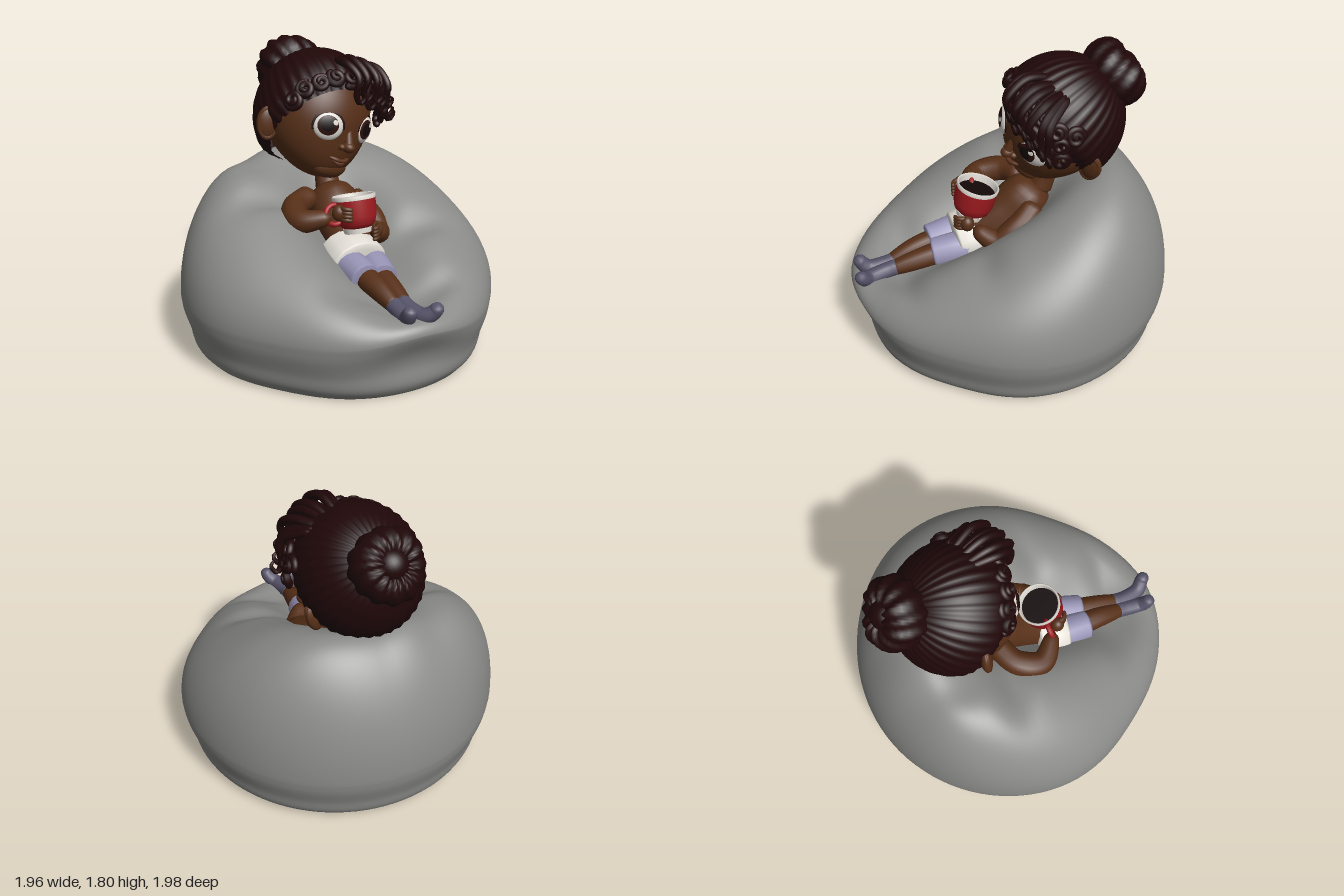
import * as THREE from 'three';
import { mergeVertices } from 'three/addons/utils/BufferGeometryUtils.js';
import { ParametricGeometry } from 'three/addons/geometries/ParametricGeometry.js';

const mat = (name, color, side = THREE.FrontSide) => {
  const m = new THREE.MeshStandardMaterial({ color, side });
  m.name = name;
  return m;
};
const M = {
  fabric: mat('grey fabric', 0x8b8b89),
  skin: mat('skin', 0x573018),
  hair: mat('dark hair', 0x200708, THREE.DoubleSide),
  red: mat('red glaze', 0x9c1a1f),
  white: mat('white', 0xe2ded6, THREE.DoubleSide),
  shorts: mat('lavender cloth', 0x9793b5),
  sock: mat('slate sock', 0x575469),
  iris: mat('iris brown', 0x2c100d),
  lip: mat('lip brown', 0x5f331f),
  dark: mat('coffee black', 0x140808),
};

const V = (x, y, z) => new THREE.Vector3(x, y, z);
const table = (xs, ys) => {
  const f = new THREE.CubicInterpolant(xs, ys, 1);
  return t => f.evaluate(t)[0];
};
const smooth = geo => {
  geo.deleteAttribute('uv');
  geo.deleteAttribute('normal');
  const g = mergeVertices(geo);
  g.computeVertexNormals();
  return g;
};
function add(parent, name, geo, material, pos = [0, 0, 0], rot = [0, 0, 0], scale = [1, 1, 1]) {
  const m = new THREE.Mesh(geo, material);
  m.name = name;
  m.position.set(...pos);
  m.rotation.set(...rot);
  m.scale.set(...scale);
  parent.add(m);
  return m;
}
const ball = (w = 24, h = 18) => new THREE.SphereGeometry(1, w, h);

// Round-ended tube through points; radii are spaced evenly along it
function limb(points, radii, cap = 0.12, rows = 28, cols = 14) {
  const curve = new THREE.CatmullRomCurve3(points.map(p => V(...p)));
  const g = new THREE.TubeGeometry(curve, rows, 1, cols);
  const pos = g.attributes.position, p = V(0, 0, 0);
  const radius = table(radii.map((_, i) => i / (radii.length - 1)), radii);
  for (let i = 0; i <= rows; i++) {
    const u = i / rows, c = curve.getPointAt(u);
    const e = 1 - Math.min(1, u / cap, (1 - u) / cap);
    const r = radius(u) * Math.sqrt(1 - e * e);
    for (let j = 0; j <= cols; j++) {
      const k = i * (cols + 1) + j;
      p.fromBufferAttribute(pos, k).sub(c).multiplyScalar(r).add(c);
      pos.setXYZ(k, p.x, p.y, p.z);
    }
  }
  return smooth(g);
}

// Beanbag: round base, bulging side, sloping top with a hollow down the middle
function beanbag() {
  const height = table([-1, -0.6, -0.35, 0, 0.2, 0.6, 1], [1.27, 1.27, 1.13, 0.92, 0.83, 0.71, 0.65]);
  const hollow = table([-1, -0.6, -0.35, -0.1, 0.2, 0.6, 0.9, 1], [0, 0.03, 0.14, 0.27, 0.26, 0.18, 0.07, 0]);
  const side = table([0, 0.15, 0.45, 0.8, 1], [0.88, 0.925, 0.952, 0.99, 1]);
  const dents = [[-0.45, -0.12, 0.2, 0.1, 0.06], [0.42, 0.27, 0.18, 0.1, 0.05],
    [0.24, 0.7, 0.2, 0.08, 0.03], [-0.26, 0.62, 0.16, 0.09, 0.03], [-0.36, -0.5, 0.14, 0.3, 0.05]];
  return smooth(new ParametricGeometry((u, v, out) => {
    const a = (u % 1) * Math.PI * 2, turn = Math.min(a, Math.PI * 2 - a);
    const front = Math.exp(-((turn / 0.32) ** 2));
    const R = 0.982 - 0.048 * Math.exp(-(((turn - 0.9) / 0.4) ** 2)) + 0.013 * front;
    const mid = 0.35 + 0.06 * front;
    let rho, y;
    if (v < 0.0499) { rho = 0.88 * v / 0.05; y = 0.01; }
    else if (v < 0.3) {
      const q = (v - 0.05) / 0.25;
      rho = side(q) - front * (0.015 + 0.04 * Math.sin(Math.PI * q ** 1.4)) * (1 - q ** 6);
      y = 0.01 + q * (mid - 0.01);
    } else rho = Math.cos((v - 0.3) / 0.7 * Math.PI / 2);
    const x = Math.sin(a) * R * rho, z = Math.cos(a) * R * rho;
    if (v >= 0.3) {
      const dome = Math.sqrt(Math.max(0, 1 - rho ** 2.6));
      y = mid + (height(z) + 0.12 * Math.abs(x) * (1 - front) - mid) * dome;
      y -= hollow(z) * Math.exp(-((x / 0.27) ** 2)) * Math.min(1, dome * 1.5);
      for (const [dx, dz, sx, sz, d] of dents)
        y -= d * Math.exp(-(((x - dx) / sx) ** 2) - ((z - dz) / sz) ** 2);
    }
    out.set(x, y, z);
  }, 96, 80));
}

function mug() {
  const g = new THREE.Group();
  g.name = 'mug';
  const lathe = pts => new THREE.LatheGeometry(pts.map(p => new THREE.Vector2(...p)), 36);
  add(g, 'mugBody', lathe([[0, 0], [0.08, 0], [0.108, 0.025], [0.123, 0.07], [0.128, 0.17]]), M.red);
  add(g, 'mugRim', lathe([[0.128, 0.17], [0.131, 0.192], [0.125, 0.198], [0.117, 0.19], [0.114, 0.13]]), M.white);
  add(g, 'coffee', new THREE.CircleGeometry(0.116, 32), M.dark, [0, 0.15, 0], [-Math.PI / 2, 0, 0]);
  add(g, 'mugFoot', new THREE.CylinderGeometry(0.088, 0.082, 0.03, 32), M.white, [0, -0.014, 0]);
  add(g, 'mugHandle', new THREE.TorusGeometry(0.058, 0.017, 10, 24), M.red, [-0.14, 0.1, 0]);
  g.position.set(-0.01, 0.8, 0.24);
  g.rotation.x = -0.27;
  return g;
}

function body() {
  const g = new THREE.Group();
  g.name = 'body';
  add(g, 'torso', limb([[-0.03, 0.61, 0.25], [0, 0.7, 0.1], [0.01, 0.82, -0.07], [0.02, 0.95, -0.19]],
    [0.13, 0.14, 0.15, 0.155, 0.12], 0.15), M.skin);
  add(g, 'neck', limb([[0.02, 0.9, -0.18], [0.02, 1.0, -0.22], [0.02, 1.15, -0.26]], [0.08, 0.07, 0.08]), M.skin);
  add(g, 'waistCloth', limb([[-0.035, 0.64, 0.13], [-0.035, 0.62, 0.24], [-0.035, 0.6, 0.35]],
    [0.145, 0.15, 0.15, 0.14], 0.1), M.white, [0, 0, 0], [0, 0, 0], [1.25, 1, 1]);
  // Right and left legs, with the ankles close together and the left one lower
  const legs = [[-0.12, -0.085, -0.05, -0.055, -0.065, 0, 0], [0.05, 0.025, 0.015, 0.045, 0.09, 0.025, -0.02]];
  for (const [hip, knee, ankle, heel, toe, dz, dy] of legs) {
    add(g, 'shortsLeg', limb([[hip, 0.615 + dy, 0.24], [(hip + knee) / 2, 0.6 + dy, 0.36], [knee - 0.01, 0.575 + dy, 0.5]],
      [0.1, 0.1, 0.095], 0.05), M.shorts);
    add(g, 'leg', limb([[knee, 0.58 + dy, 0.44], [(knee + ankle) / 2, 0.55 + dy, 0.6], [ankle, 0.495, 0.76]],
      [0.073, 0.068, 0.058, 0.042]), M.skin);
    add(g, 'sock', limb([[ankle, 0.51, 0.7], [ankle, 0.49, 0.79], [heel, 0.485, 0.88 + dz], [toe, 0.53, 0.925 + dz],
      [toe, 0.575, 0.945 + dz]], [0.05, 0.05, 0.05, 0.045, 0.036], 0.1), M.sock);
  }
  // Arms and hands around the mug
  const arms = [
    [[[-0.12, 0.91, -0.14], [-0.28, 0.88, -0.05], [-0.32, 0.85, 0.1], [-0.17, 0.89, 0.23]], [-0.145, 0.92, 0.26], 1],
    [[[0.13, 0.88, -0.13], [0.2, 0.78, 0], [0.2, 0.7, 0.13], [0.11, 0.765, 0.26]], [0.09, 0.79, 0.29], -1],
  ];
  for (const [path, [hx, hy, hz], s] of arms) {
    add(g, 'arm', limb(path, [0.075, 0.075, 0.08, 0.065, 0.04], 0.1), M.skin);
    add(g, 'palm', ball(), M.skin, [hx, hy, hz], [0, 0, 0], [0.042, 0.05, 0.042]);
    for (let i = 0; i < 4; i++) {
      const y = hy + 0.033 - i * 0.022;
      add(g, 'finger', limb([[hx, y, hz], [hx + s * 0.02, y, hz + 0.05], [hx + s * 0.06, y - 0.005, hz + 0.065]],
        [0.015, 0.014, 0.012], 0.15, 12, 8), M.skin);
    }
  }
  return g;
}

function eye(s) {
  const g = new THREE.Group();
  g.name = s < 0 ? 'rightEye' : 'leftEye';
  const cap = (r, angle) => new THREE.SphereGeometry(r, 28, 8, 0, Math.PI * 2, 0, angle).rotateX(Math.PI / 2);
  const look = [-0.14, s < 0 ? -0.12 : -0.42, 0];
  add(g, 'eyeWhite', ball(28, 20), M.white);
  add(g, 'iris', cap(1.02, 0.76), M.iris, [0, 0, 0], look);
  add(g, 'pupil', cap(1.04, 0.45), M.dark, [0, 0, 0], look);
  add(g, 'eyeGlint', cap(1.07, 0.18), M.white, [0, 0, 0], [-0.4, look[1] + 0.45, 0]);
  add(g, 'upperLash', new THREE.TorusGeometry(0.98, 0.12, 8, 28, Math.PI * 1.15), M.hair, [0, 0, 0.15], [0, 0, -0.08 - (s < 0 ? 0 : 0.3)]);
  add(g, 'lowerLid', new THREE.TorusGeometry(0.98, 0.09, 8, 28, Math.PI), M.skin, [0, 0, 0.12], [0, 0, Math.PI]);
  g.position.set(s * 0.15 + 0.012, -0.015, s < 0 ? 0.272 : 0.26);
  g.rotation.y = s * 0.46;
  g.scale.set(0.094, 0.086, 0.04);
  return g;
}

function hair() {
  const g = new THREE.Group();
  g.name = 'hair';
  // Ridged cap gathered towards the bun
  const cap = new THREE.SphereGeometry(1, 144, 26, 0, Math.PI * 2, 0, 1.85);
  const p = cap.attributes.position, v = V(0, 0, 0);
  for (let i = 0; i < p.count; i++) {
    v.fromBufferAttribute(p, i);
    const theta = Math.acos(v.y), phi = Math.atan2(v.z, v.x);
    v.multiplyScalar(1 + 0.012 * Math.cos(36 * phi) * Math.sin(theta) - 0.1 * THREE.MathUtils.smoothstep(theta, 1.6, 1.85));
    p.setXYZ(i, v.x, v.y, v.z);
  }
  cap.rotateX(-0.927).scale(0.372, 0.405, 0.395);
  add(g, 'hairCap', smooth(cap), M.hair, [0, 0, -0.015]);
  // Twisted bun
  const bun = new THREE.TorusGeometry(0.11, 0.1, 20, 96);
  const b = bun.attributes.position;
  for (let i = 0; i < b.count; i++) {
    v.fromBufferAttribute(b, i);
    const a = Math.atan2(v.y, v.x), c = V(Math.cos(a) * 0.11, Math.sin(a) * 0.11, 0);
    const around = Math.atan2(v.z, Math.hypot(v.x, v.y) - 0.11);
    v.sub(c).multiplyScalar(1 + 0.08 * Math.sin(12 * a + 2 * around) + 0.06 * Math.sin(3 * a)).add(c);
    b.setXYZ(i, v.x, v.y, v.z * 1.25);
  }
  const bunMesh = add(g, 'bun', smooth(bun), M.hair, [0, 0.225, -0.365]);
  bunMesh.lookAt(0, 0.225 + 0.5, -0.365 - 0.85);
  add(g, 'bunCore', ball(), M.hair, [0, 0.26, -0.405], [0, 0, 0], [0.1, 0.1, 0.1]);
  // Loose fringe locks with curled tips
  for (let i = 0; i < 9; i++) {
    const x = -0.08 + i * 0.042, w = 0.03 * Math.sin(i * 2.3), d = x * x * 1.2;
    add(g, 'fringeLock', limb([[x * 0.6, 0.35, 0.06], [x, 0.37 - d + w, 0.24], [x + 0.03, 0.31 - d, 0.35 - d + w],
      [x + 0.05, 0.2 - d + w, 0.345 - d], [x + 0.09, 0.16 - d + w, 0.35 - d], [x + 0.105, 0.21 - d + w, 0.365 - d],
      [x + 0.07, 0.23 - d + w, 0.37 - d]], [0.02, 0.026, 0.024, 0.018, 0.01], 0.1, 32, 8), M.hair);
  }
  // Spiral curls along the hairline, fuller on the left
  const spiral = [];
  for (let i = 0; i <= 14; i++) {
    const t = i / 14, r = 0.052 * (1 - 0.72 * t), a = t * Math.PI * 3.4;
    spiral.push([r * Math.cos(a), r * Math.sin(a), 0.035 * t]);
  }
  const curlGeo = limb(spiral, [0.021, 0.022, 0.015], 0.06, 48, 8);
  const spots = [[-0.62, 0.58, 0.6], [-0.38, 0.7, 0.66], [-0.12, 0.7, 0.72], [0.08, 0.6, 0.8], [0.26, 0.5, 0.8],
    [0.46, 0.45, 0.76], [0.6, 0.37, 0.72], [0.72, 0.28, 0.65], [0.83, 0.4, 0.5], [0.72, 0.56, 0.5], [0.5, 0.68, 0.6],
    [0.3, 0.76, 0.64], [0.86, 0.16, 0.48], [0.9, 0.52, 0.28], [-0.78, 0.42, 0.45], [-0.88, 0.22, 0.36]];
  spots.forEach((s, i) => {
    const d = V(...s).normalize(), out = d.x > 0.3 ? 1.06 : 1;
    const m = add(g, 'curl', curlGeo, M.hair, [d.x * 0.355 * out, d.y * 0.39 * out, d.z * 0.365 * out]);
    m.lookAt(d.x * 2, d.y * 2, d.z * 2);
    m.rotateZ(i * 1.9);
  });
  return g;
}

function head() {
  const g = new THREE.Group();
  g.name = 'head';
  // Wide rounded skull with the jaw pushed forward
  const skull = ball(48, 36), p = skull.attributes.position;
  for (let i = 0; i < p.count; i++) {
    const x = p.getX(i), y = p.getY(i), z = p.getZ(i), low = Math.min(0, y) ** 2;
    p.setXYZ(i, x * 0.335 * (1 - 0.1 * low), y * 0.36, z * 0.32 + 0.1 * low);
  }
  add(g, 'face', smooth(skull), M.skin);
  add(g, 'chin', ball(), M.skin, [0.01, -0.275, 0.2], [0, 0, 0], [0.13, 0.07, 0.07]);
  add(g, 'nose', ball(), M.skin, [0.01, -0.12, 0.33], [0, 0, 0], [0.038, 0.034, 0.045]);
  add(g, 'noseBridge', limb([[0.01, 0.0, 0.285], [0.01, -0.06, 0.312], [0.01, -0.12, 0.335]], [0.02, 0.024, 0.03]), M.skin);
  add(g, 'upperLip', limb([[-0.085, -0.195, 0.275], [-0.03, -0.208, 0.308], [0, -0.212, 0.312], [0.03, -0.208, 0.308],
    [0.085, -0.195, 0.275]], [0.004, 0.012, 0.011, 0.012, 0.004]), M.lip);
  add(g, 'lowerLip', limb([[-0.065, -0.207, 0.278], [0, -0.232, 0.302], [0.065, -0.207, 0.278]], [0.004, 0.015, 0.004]), M.lip);
  for (const s of [-1, 1]) {
    add(g, 'nostril', ball(16, 12), M.skin, [0.01 + s * 0.036, -0.125, 0.312], [0, 0, 0], [0.024, 0.021, 0.026]);
    g.add(eye(s));
    add(g, 'ear', ball(), M.skin, [s * 0.345, -0.09, -0.03], [0, s * 0.45, -s * 0.15], [0.068, 0.1, 0.035]);
    add(g, 'earRim', new THREE.TorusGeometry(1, 0.18, 8, 28), M.skin, [s * 0.347, -0.09, -0.02], [0, s * 0.45, -s * 0.15], [0.056, 0.09, 0.07]);
  }
  g.add(hair());
  g.position.set(0, 1.365, -0.3);
  g.rotation.set(0, 0.22, -0.27, 'ZYX');
  return g;
}

export function createModel() {
  const model = new THREE.Group();
  model.name = 'childOnBeanbag';
  add(model, 'beanbag', beanbag(), M.fabric);
  model.add(body(), mug(), head());
  return model;
}
